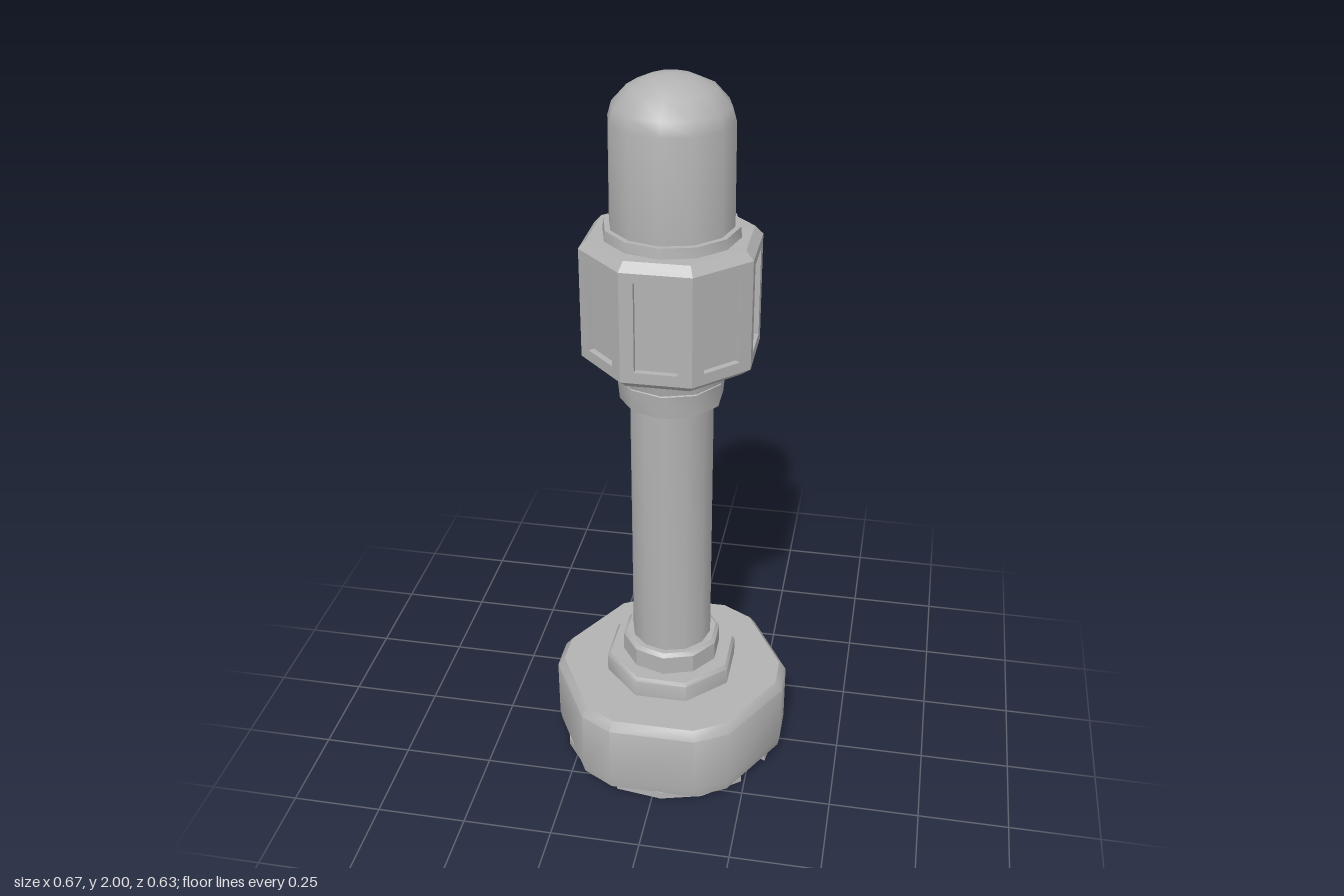
import * as THREE from 'three';
import { toCreasedNormals } from 'three/addons/utils/BufferGeometryUtils.js';

const steel = new THREE.MeshStandardMaterial({ color: 0xb2b2b2 });
steel.name = 'steel grey';

function addPart(parent, name, geometry, crease = 0.6) {
  const mesh = new THREE.Mesh(toCreasedNormals(geometry, crease), steel);
  mesh.name = name;
  parent.add(mesh);
  return mesh;
}

// Turned solid: profile is a list of [radius, y] from bottom to top
function turned(profile, sides, turn = 0) {
  const points = profile.map(([r, y]) => new THREE.Vector2(r, y));
  return new THREE.LatheGeometry(points, sides, turn);
}

// Closed solid from one outline [x, z], repeated at levels [y, scale]
function stacked(outline, levels) {
  const n = outline.length;
  const pos = [], index = [];
  for (const [y, s] of levels) for (const [x, z] of outline) pos.push(x * s, y, z * s);
  for (let l = 0; l < levels.length - 1; l++) {
    for (let i = 0; i < n; i++) {
      const a = l * n + i, b = l * n + (i + 1) % n;
      index.push(a, b, b + n, a, b + n, a + n);
    }
  }
  const top = (levels.length - 1) * n;
  for (let i = 1; i < n - 1; i++) {
    index.push(0, i + 1, i);
    index.push(top, top + i, top + i + 1);
  }
  const g = new THREE.BufferGeometry();
  g.setAttribute('position', new THREE.Float32BufferAttribute(pos, 3));
  g.setIndex(index);
  g.computeVertexNormals();
  return g;
}

export function createModel() {
  const model = new THREE.Group();
  model.name = 'bolt';

  // Six-sided head with cut corners, outline runs from +z towards +x
  const quarter = [[0.12, 0.315], [0.21, 0.265], [0.333, 0.05]];
  const half = [...quarter, ...quarter.map(([x, z]) => [x, -z]).reverse()];
  const outline = [...half, ...half.map(([x, z]) => [-x, -z])];
  addPart(model, 'hexHead', stacked(outline, [[0.02, 0.985], [0.05, 1], [0.225, 1], [0.25, 0.94]]), 0.75);

  // Thin sole under the head with four notches in its rim
  const sole = new THREE.Shape();
  for (let k = 0; k < 4; k++) {
    const a = k * Math.PI / 2 + 1.05;
    const rim = [[-0.6, 0.315], [-0.18, 0.315], [-0.2, 0.27], [0.2, 0.27], [0.18, 0.315], [0.6, 0.315]];
    rim.forEach(([t, r], i) => {
      const x = Math.cos(a + t) * r, y = Math.sin(a + t) * r;
      if (k === 0 && i === 0) sole.moveTo(x, y);
      else sole.lineTo(x, y);
    });
  }
  sole.closePath();
  const soleGeometry = new THREE.ExtrudeGeometry(sole, { depth: 0.022, bevelEnabled: false });
  soleGeometry.rotateX(-Math.PI / 2);
  addPart(model, 'notchedSole', soleGeometry, 0.4);

  // Stepped collars, shaft and domed tip
  const eighth = Math.PI / 8;
  addPart(model, 'lowerFlange', turned([[0.19, 0.24], [0.19, 0.3], [0.182, 0.31], [0, 0.31]], 8, eighth), 0.9);
  addPart(model, 'lowerCollar', turned([[0.14, 0.3], [0.14, 0.365], [0.13, 0.375], [0, 0.375]], 10));
  addPart(model, 'shaft', turned([[0.113, 0.37], [0.113, 1.15]], 12), 0.7);
  addPart(model, 'upperCollar', turned([[0, 1.14], [0.138, 1.14], [0.144, 1.205], [0.13, 1.215], [0, 1.215]], 10), 0.7);
  addPart(model, 'neckRing', turned([[0, 1.21], [0.146, 1.21], [0.158, 1.27], [0, 1.27]], 10), 0.7);
  addPart(model, 'topRing', turned([[0.178, 1.59], [0.174, 1.625], [0, 1.625]], 12), 0.7);
  addPart(model, 'domedTip', turned([
    [0.16, 1.62], [0.158, 1.89], [0.148, 1.925], [0.11, 1.967], [0.06, 1.99], [0, 2],
  ], 12), 0.75);

  // Eight-sided grip: a core, sloped ends, and a framed panel on each side
  const grip = new THREE.Group();
  grip.name = 'grip';
  model.add(grip);
  const apothem = 0.219, corner = apothem / Math.cos(eighth);
  const core = corner - 0.018;
  addPart(grip, 'gripCore', turned([[core, 1.28], [core, 1.58]], 8, eighth), 0.3);
  addPart(grip, 'gripBottom', turned([[0, 1.255], [corner - 0.025, 1.26], [corner, 1.28]], 8, eighth), 0.3);
  addPart(grip, 'gripTop', turned([[corner, 1.575], [corner - 0.022, 1.598], [0, 1.6]], 8, eighth), 0.3);

  const w = apothem * Math.tan(eighth);
  const frame = new THREE.Shape();
  frame.moveTo(-w, 1.28).lineTo(w, 1.28).lineTo(w, 1.575).lineTo(-w, 1.575).closePath();
  const hole = new THREE.Path();
  hole.moveTo(-0.055, 1.31).lineTo(-0.055, 1.55).lineTo(0.055, 1.55).lineTo(0.055, 1.31).closePath();
  frame.holes.push(hole);
  const frameGeometry = new THREE.ExtrudeGeometry(frame, { depth: 0.018, bevelEnabled: false });
  frameGeometry.translate(0, 0, apothem - 0.018);
  for (let i = 0; i < 8; i++) {
    addPart(grip, 'gripFrame', frameGeometry, 0.3).rotation.y = i * Math.PI / 4;
  }
  return model;
}
